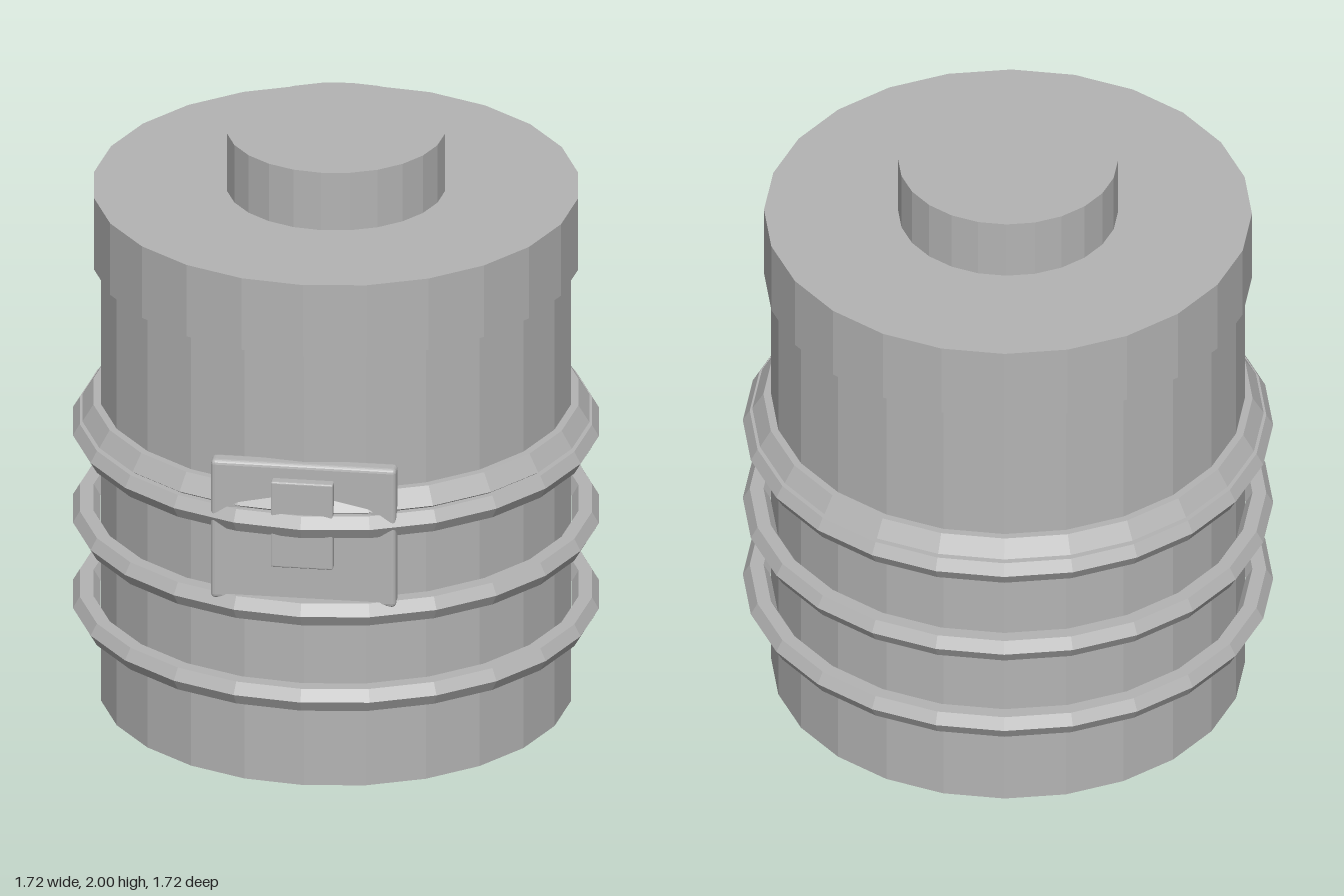
import * as THREE from 'three';
import { RoundedBoxGeometry } from 'three/addons/geometries/RoundedBoxGeometry.js';

const SIDES = 24;

export function createModel() {
  const group = new THREE.Group();
  const grey = new THREE.MeshStandardMaterial({ color: 0xb4b4b4, flatShading: true });
  grey.name = 'grey';

  const add = (name, geometry, x = 0, y = 0, z = 0) => {
    const mesh = new THREE.Mesh(geometry, grey);
    mesh.name = name;
    mesh.position.set(x, y, z);
    group.add(mesh);
    return mesh;
  };
  const drum = (name, radius, y0, y1) =>
    add(name, new THREE.CylinderGeometry(radius, radius, y1 - y0, SIDES), 0, (y0 + y1) / 2, 0);

  // Barrel, lid and cap
  drum('body', 0.77, 0, 1.56);
  drum('lid', 0.793, 1.54, 1.795);
  drum('cap', 0.357, 1.79, 2);

  // Hexagonal-section hoops around the barrel
  [0.336, 0.641, 0.952].forEach((y, i) => {
    const hoop = new THREE.TorusGeometry(0.817, 0.045, 6, SIDES);
    hoop.rotateX(-Math.PI / 2);
    add('hoop' + (i + 1), hoop, 0, y, 0);
  });

  // Sloped collar above the top hoop
  const collar = [[0.765, 0.985], [0.81, 0.985], [0.831, 1.0], [0.795, 1.058], [0.765, 1.058]]
    .map(([r, y]) => new THREE.Vector2(r, y));
  add('collar', new THREE.LatheGeometry(collar, SIDES));

  // Front latch: backing plate and clasp
  add('latchPlate', new RoundedBoxGeometry(0.608, 0.493, 0.06, 2, 0.015), 0, 0.907, 0.767);
  add('latchClasp', new RoundedBoxGeometry(0.204, 0.304, 0.045, 2, 0.006), 0, 0.951, 0.808);

  return group;
}
